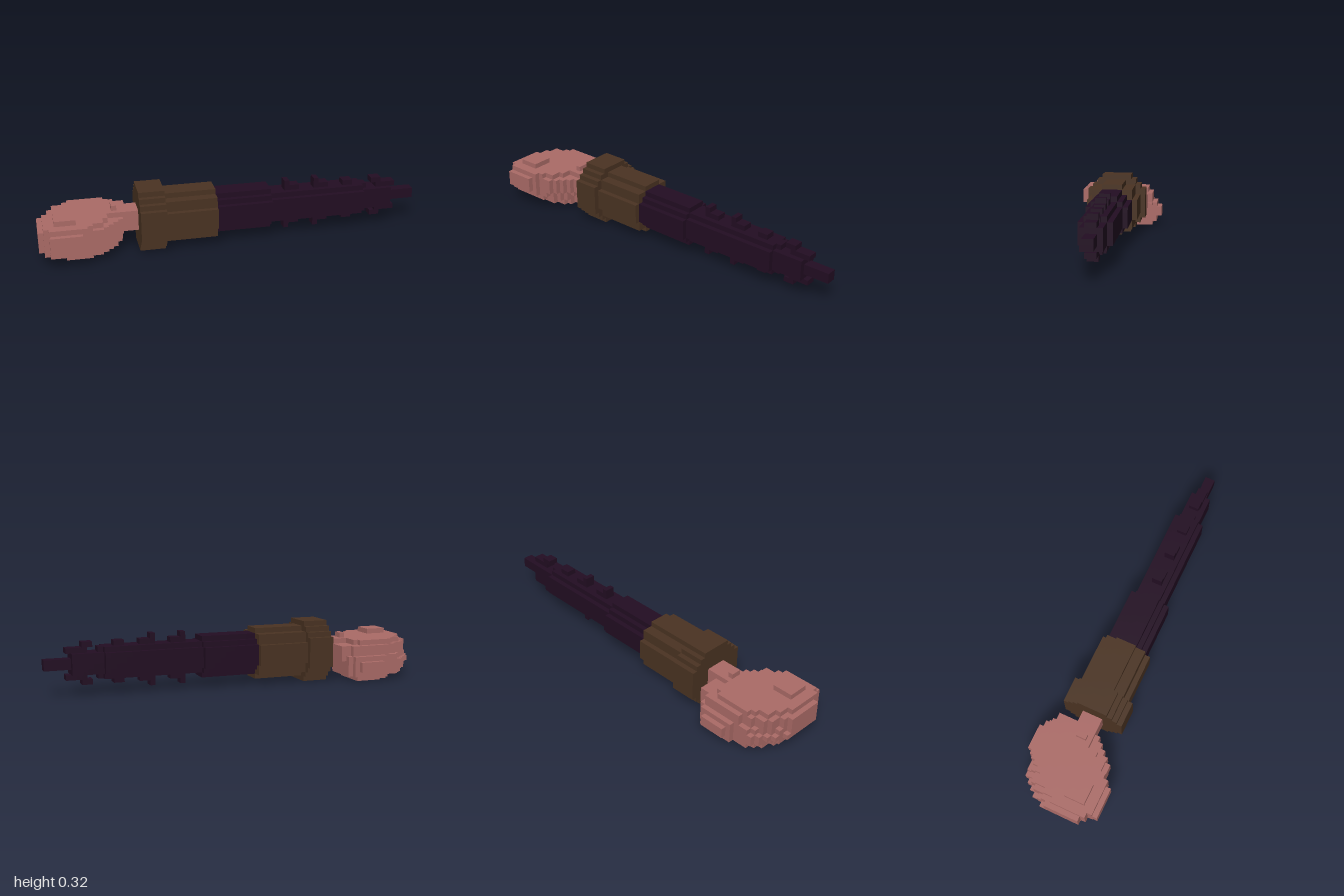
import * as THREE from 'three';

const S = 2 / 75; // cube size; the model is 75 cubes long, 12 high, 18 deep
const cells = new Map();
const key = (i, j, k) => `${i},${j},${k}`;

function put(part, i, j, k) {
  cells.set(key(i, j, k), { part, p: [i, j, k] });
}

function fill(part, i0, i1, j0, j1, k0, k1) {
  for (let i = i0; i < i1; i++)
    for (let j = j0; j < j1; j++)
      for (let k = k0; k < k1; k++) put(part, i, j, k);
}

// Stepped round bar along x, centred on row 6
function bar(part, i0, i1, r) {
  for (let j = -r; j < r; j++)
    for (let k = -r; k < r; k++)
      if ((j + 0.5) ** 2 + (k + 0.5) ** 2 <= r * r + 0.5) fill(part, i0, i1, j + 6, j + 7, k, k + 1);
}

// Tooth cubes mirrored above and below the shaft
function tooth(i0, i1, row) {
  fill('shaft', i0, i1, row, row + 1, -1, 1);
  fill('shaft', i0, i1, 11 - row, 12 - row, -1, 1);
}

// Tilted rounded end: each row is a skewed oval inside [i0, i1, k0, k1]
const ROWS = [
  [5, 14, -7, 4], [2, 16, -8, 5], [1, 16, -9, 7], [0, 16, -9, 8],
  [0, 17, -8, 9], [0, 17, -7, 9], [0, 17, -7, 9], [1, 14, -6, 8],
];
// Plan outline: z range for each step along x
const PLAN = [
  [-6, 6], [-6, 7], [-7, 9], [-7, 9], [-7, 9], [-7, 9], [-7, 9], [-7, 9], [-8, 8],
  [-9, 7], [-9, 7], [-9, 7], [-9, 6], [-9, 5], [-8, 4], [-7, 3], [-6, 2],
];

function roundedEnd(part) {
  ROWS.forEach(([i0, i1, k0, k1], j) => {
    const ic = (i0 + i1) / 2, kc = (k0 + k1) / 2;
    for (let i = i0; i < i1; i++)
      for (let k = Math.max(k0, PLAN[i][0]); k < Math.min(k1, PLAN[i][1]); k++) {
        const dk = k + 0.5 - kc;
        const u = (i + 0.5 - ic + 0.35 * dk) / ((i1 - i0) / 2);
        const v = dk / ((k1 - k0) / 2);
        if (Math.abs(u) ** 2.5 + Math.abs(v) ** 2.5 <= 1.03) put(part, i, j, k);
      }
  });
  fill(part, 3, 7, 8, 9, 2, 6); // raised pad
  fill(part, 14, 15, 8, 9, -1, 1); // small bump by the neck
}

// Outer faces of all cubes belonging to one part
function shell(part) {
  const pos = [], nor = [], idx = [];
  for (const c of cells.values()) {
    if (c.part !== part) continue;
    for (let a = 0; a < 3; a++)
      for (const s of [-1, 1]) {
        const n = [...c.p];
        n[a] += s;
        if (cells.has(key(...n))) continue;
        const b = (a + 1) % 3, d = (a + 2) % 3, base = pos.length / 3;
        for (const [u, v] of [[0, 0], [1, 0], [1, 1], [0, 1]]) {
          const q = [...c.p];
          q[a] += s > 0 ? 1 : 0;
          q[b] += u;
          q[d] += v;
          pos.push(q[0] * S - 1, q[1] * S, q[2] * S);
          const m = [0, 0, 0];
          m[a] = s;
          nor.push(...m);
        }
        const order = s > 0 ? [0, 1, 2, 0, 2, 3] : [0, 2, 1, 0, 3, 2];
        idx.push(...order.map((o) => base + o));
      }
  }
  const g = new THREE.BufferGeometry();
  g.setAttribute('position', new THREE.Float32BufferAttribute(pos, 3));
  g.setAttribute('normal', new THREE.Float32BufferAttribute(nor, 3));
  g.setIndex(idx);
  return g;
}

export function createModel() {
  cells.clear();

  // Rounded end and its neck
  roundedEnd('roundedEnd');
  bar('roundedEnd', 13, 19, 2);

  // Sleeve with a wider collar
  bar('sleeve', 19, 24, 6);
  bar('sleeve', 24, 34, 5);

  // Tapering shaft
  bar('shaft', 34, 45, 4);
  bar('shaft', 45, 64, 3);
  bar('shaft', 64, 70, 2);
  bar('shaft', 70, 75, 1);

  // Teeth along the shaft
  for (const i of [48, 54]) {
    tooth(i, i + 3, 9);
    tooth(i, i + 1, 10);
  }
  tooth(60, 62, 9);
  tooth(60, 65, 8);
  tooth(66, 68, 9);
  tooth(67, 71, 8);

  const colours = {
    roundedEnd: ['dustyPink', 0xab6b67],
    sleeve: ['darkBrown', 0x4a3322],
    shaft: ['darkPurple', 0x220d22],
  };
  const group = new THREE.Group();
  for (const [part, [name, color]] of Object.entries(colours)) {
    const material = new THREE.MeshStandardMaterial({ color });
    material.name = name;
    const mesh = new THREE.Mesh(shell(part), material);
    mesh.name = part;
    group.add(mesh);
  }
  return group;
}
